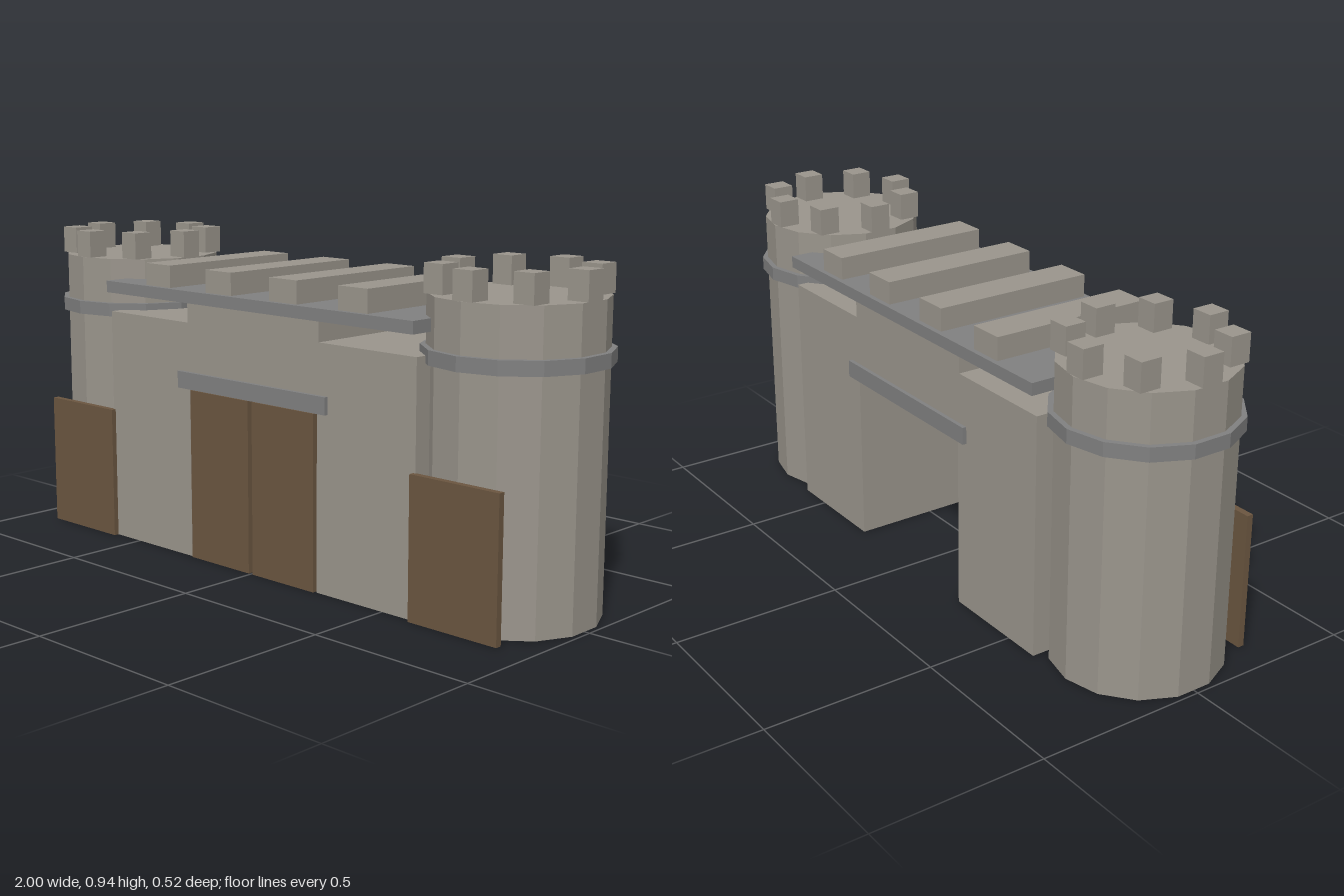
import * as THREE from 'three';

const material = (color) => new THREE.MeshStandardMaterial({ color, flatShading: true });

export function createModel() {
  const castle = new THREE.Group();
  castle.name = 'castleGate';
  const stone = material(0x9a958c);
  const darkStone = material(0x808080);
  const wood = material(0x6b5640);

  function add(parent, name, geometry, mat, x, y, z) {
    const mesh = new THREE.Mesh(geometry, mat);
    mesh.name = name;
    mesh.position.set(x, y, z);
    parent.add(mesh);
    return mesh;
  }

  // Box given by its extents along each axis
  function block(parent, name, mat, [x0, x1], [y0, y1], [z0, z1]) {
    const geometry = new THREE.BoxGeometry(x1 - x0, y1 - y0, z1 - z0);
    return add(parent, name, geometry, mat, (x0 + x1) / 2, (y0 + y1) / 2, (z0 + z1) / 2);
  }

  // Extents mirrored to the given side
  const mirror = (side, a, b) => (side > 0 ? [a, b] : [-b, -a]);

  for (const side of [1, -1]) {
    const label = side > 0 ? 'left' : 'right';

    // Round tower with a string course and a crown of merlons
    const tower = new THREE.Group();
    tower.name = label + 'Tower';
    tower.position.x = side * 0.75;
    castle.add(tower);
    add(tower, 'towerBody', new THREE.CylinderGeometry(0.24, 0.24, 0.86, 14), stone, 0, 0.43, 0);
    add(tower, 'towerBand', new THREE.CylinderGeometry(0.256, 0.256, 0.04, 14), darkStone, 0, 0.705, 0);
    for (let i = 0; i < 8; i++) {
      const a = (i * Math.PI) / 4;
      add(tower, 'towerMerlon', new THREE.BoxGeometry(0.063, 0.08, 0.063), stone,
        Math.cos(a) * 0.204, 0.9, Math.sin(a) * 0.204);
    }

    // Wall beside the passage, gate leaf and tower panel
    block(castle, label + 'GateWall', stone, mirror(side, 0.258, 0.612), [0, 0.705], [-0.243, 0.243]);
    block(castle, label + 'GateDoor', wood, mirror(side, 0.008, 0.25), [0, 0.507], [0.229, 0.249]);
    block(castle, label + 'TowerPanel', wood, mirror(side, 0.604, 0.897), [0, 0.4], [0.239, 0.258]);
  }

  // Block over the passage, lintel and roof slab
  block(castle, 'gateHead', stone, [-0.265, 0.265], [0.512, 0.765], [-0.243, 0.243]);
  block(castle, 'lintel', darkStone, [-0.298, 0.298], [0.51, 0.56], [-0.255, 0.255]);
  block(castle, 'roofSlab', darkStone, [-0.612, 0.612], [0.765, 0.8], [-0.26, 0.26]);

  // Long merlons running across the roof
  for (const x of [-0.39, -0.13, 0.13, 0.39]) {
    block(castle, 'roofMerlon', stone, [x - 0.053, x + 0.053], [0.8, 0.866], [-0.245, 0.245]);
  }

  return castle;
}
